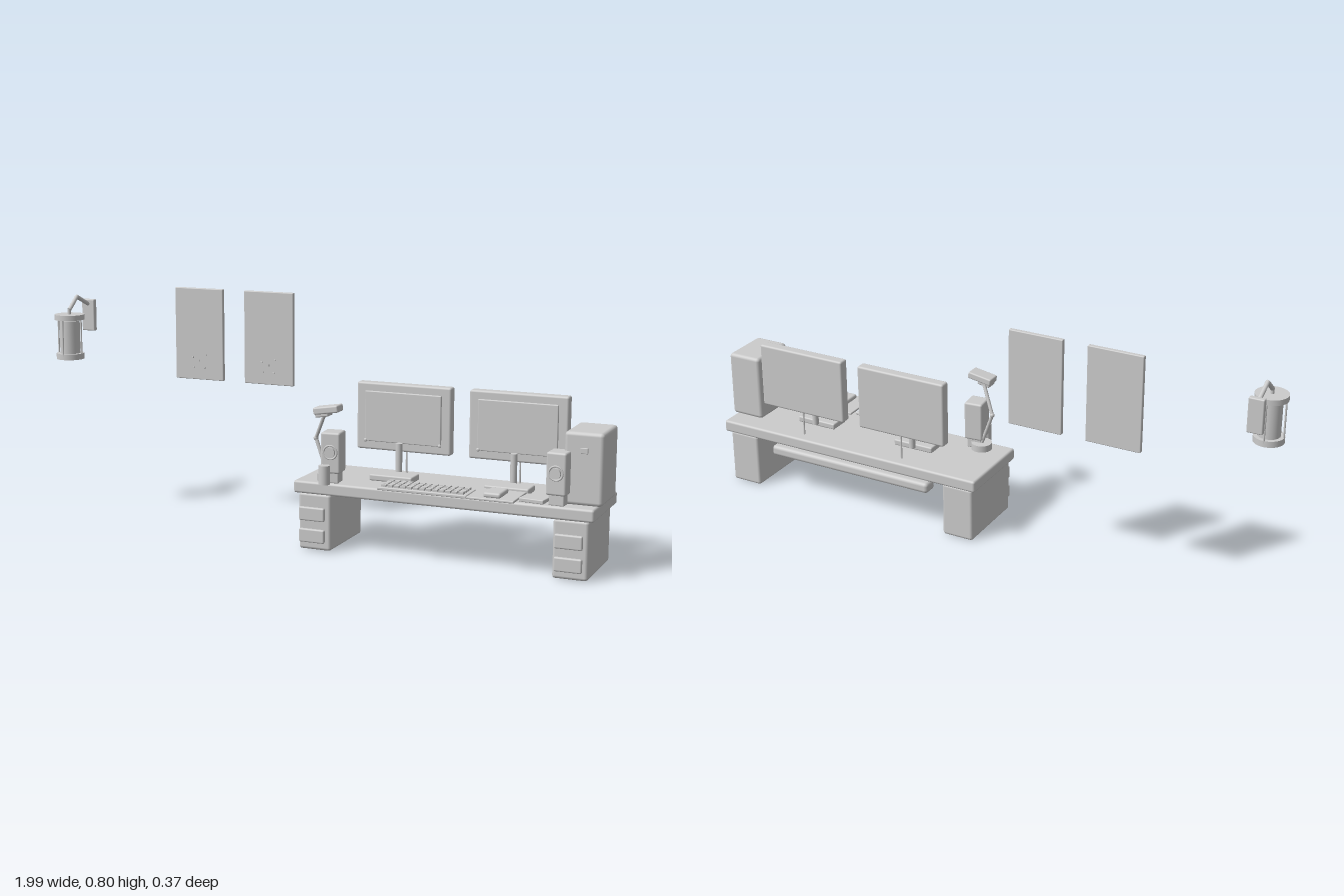
import * as THREE from 'three';
import { RoundedBoxGeometry } from 'three/addons/geometries/RoundedBoxGeometry.js';

const material = new THREE.MeshStandardMaterial({ color: 0xcccccc });

function add(parent, name, geometry, x = 0, y = 0, z = 0) {
  const mesh = new THREE.Mesh(geometry, material);
  mesh.name = name;
  mesh.position.set(x, y, z);
  parent.add(mesh);
  return mesh;
}

// Box given by its extents on each axis, with softened edges
function slab(parent, name, [x0, x1], [y0, y1], [z0, z1], r = 0.005) {
  const w = x1 - x0, h = y1 - y0, d = z1 - z0;
  const geometry = r ? new RoundedBoxGeometry(w, h, d, 2, Math.min(r, w / 2.2, h / 2.2, d / 2.2))
    : new THREE.BoxGeometry(w, h, d);
  return add(parent, name, geometry, (x0 + x1) / 2, (y0 + y1) / 2, (z0 + z1) / 2);
}

function upright(parent, name, r, y0, y1, x, z, sides = 24) {
  return add(parent, name, new THREE.CylinderGeometry(r, r, y1 - y0, sides), x, (y0 + y1) / 2, z);
}

// Straight round bar between two points
function bar(parent, name, a, b, r) {
  const from = new THREE.Vector3(...a), to = new THREE.Vector3(...b);
  const mesh = add(parent, name, new THREE.CylinderGeometry(r, r, from.distanceTo(to), 12));
  mesh.position.copy(from).lerp(to, 0.5);
  mesh.quaternion.setFromUnitVectors(new THREE.Vector3(0, 1, 0), to.sub(from).normalize());
  return mesh;
}

function group(parent, name, x = 0, y = 0, z = 0) {
  const g = new THREE.Group();
  g.name = name;
  g.position.set(x, y, z);
  parent.add(g);
  return g;
}

function buildDesk(root) {
  const desk = group(root, 'desk');
  slab(desk, 'deskTop', [-0.013, 0.98], [0.19, 0.231], [-0.167, 0.117], 0.008);
  for (const x of [0.0575, 0.907]) {
    slab(desk, 'pedestal', [x - 0.056, x + 0.056], [0.003, 0.191], [-0.157, 0.107], 0.01);
    for (const y of [0.033, 0.105])
      slab(desk, 'drawerFront', [x - 0.044, x + 0.044], [y, y + 0.045], [0.12, 0.134]);
  }
  slab(desk, 'cableTray', [0.17, 0.79], [0.137, 0.174], [-0.16, -0.105], 0.012);
}

function buildMonitor(root, x) {
  const monitor = group(root, 'monitor', x);
  slab(monitor, 'monitorBody', [-0.163, 0.163], [0.309, 0.532], [-0.129, -0.092], 0.007);
  slab(monitor, 'screen', [-0.132, 0.132], [0.338, 0.505], [-0.094, -0.084], 0.003);
  for (const side of [-1, 1]) {
    const knob = add(monitor, 'screenKnob', new THREE.SphereGeometry(0.006, 10, 8), side * 0.129, 0.341, -0.083);
    knob.scale.z = 0.5;
  }
  upright(monitor, 'standPole', 0.011, 0.24, 0.345, 0, -0.056);
  slab(monitor, 'standFoot', [-0.073, 0.073], [0.231, 0.252], [-0.053, 0.02], 0.005);
  upright(monitor, 'cable', 0.003, 0.225, 0.312, 0, -0.126, 8);
}

function buildSpeaker(root, x, turn) {
  const speaker = group(root, 'speaker', x, 0, 0.081);
  speaker.rotation.y = turn;
  slab(speaker, 'speakerBody', [-0.032, 0.032], [0.263, 0.397], [-0.034, 0.034], 0.007);
  slab(speaker, 'speakerFoot', [-0.025, 0.025], [0.23, 0.266], [-0.026, 0.026], 0.004);
  add(speaker, 'speakerCone', new THREE.CylinderGeometry(0.017, 0.017, 0.01, 24), 0, 0.333, 0.038).rotation.x = Math.PI / 2;
  add(speaker, 'speakerRim', new THREE.TorusGeometry(0.022, 0.003, 8, 28), 0, 0.333, 0.034);
}

function buildComputer(root) {
  const computer = group(root, 'computer');
  slab(computer, 'computerCase', [0.87, 0.993], [0.23, 0.457], [-0.098, 0.073], 0.012);
  slab(computer, 'powerButton', [0.921, 0.945], [0.392, 0.41], [0.07, 0.077], 0.002);
}

function buildKeyboard(root) {
  const keyboard = group(root, 'keyboard');
  slab(keyboard, 'keyboardBase', [0.297, 0.592], [0.239, 0.249], [0.072, 0.166], 0.003);
  for (let row = 0; row < 4; row++)
    for (let col = 0; col < 13; col++) {
      const x = 0.308 + col * 0.0213, z = 0.079 + row * 0.0205;
      slab(keyboard, 'key', [x, x + 0.016], [0.248, 0.256], [z, z + 0.016], 0);
    }
}

function buildDeskItems(root) {
  const items = group(root, 'deskItems');
  slab(items, 'mousePad', [0.598, 0.75], [0.244, 0.252], [0.053, 0.187], 0.003);
  slab(items, 'mouse', [0.648, 0.703], [0.25, 0.267], [0.085, 0.172], 0.007);
  const notebook = slab(items, 'notebook', [-0.04, 0.04], [0.241, 0.254], [-0.033, 0.033], 0.003);
  notebook.position.x = 0.795;
  notebook.position.z = 0.112;
  notebook.rotation.y = -0.12;
  upright(items, 'penCup', 0.018, 0.231, 0.293, 0.102, 0.13);
}

function buildDeskLamp(root) {
  const lamp = group(root, 'deskLamp');
  const points = [[0.085, 0.25, 0.065], [0.042, 0.365, 0.06], [0.085, 0.455, 0.085]];
  upright(lamp, 'lampFoot', 0.035, 0.23, 0.254, 0.085, 0.065);
  for (let i = 0; i < 2; i++) bar(lamp, 'lampArm', points[i], points[i + 1], 0.006);
  add(lamp, 'lampJoint', new THREE.SphereGeometry(0.008, 14, 10), ...points[1]);
  // Tilted head with a wider shade on top
  const head = group(lamp, 'lampHead', 0.107, 0.469, 0.111);
  head.rotation.z = 0.16;
  slab(head, 'lampShade', [-0.043, 0.043], [-0.008, 0.015], [-0.025, 0.025], 0.005);
  slab(head, 'lampBulbHousing', [-0.04, 0.005], [-0.018, 0], [-0.022, 0.02], 0.004);
}

function buildWallLantern(root) {
  const lantern = group(root, 'wallLantern', -0.949, 0, -0.046);
  upright(lantern, 'lanternCap', 0.052, 0.685, 0.703, 0, 0, 32);
  upright(lantern, 'lanternBottom', 0.048, 0.547, 0.567, 0, 0, 32);
  upright(lantern, 'lanternGlass', 0.035, 0.56, 0.681, 0, 0, 24);
  for (let i = 0; i < 4; i++) {
    const a = i * Math.PI / 2;
    upright(lantern, 'lanternRod', 0.003, 0.56, 0.69, 0.046 * Math.cos(a), 0.046 * Math.sin(a), 10);
  }
  upright(lantern, 'hangingStem', 0.006, 0.7, 0.722, 0, 0, 12);
  const path = [[0, 0.718, 0], [0, 0.759, -0.051], [0, 0.726, -0.124]];
  for (let i = 0; i < 2; i++) bar(lantern, 'bracketArm', path[i], path[i + 1], 0.007);
  add(lantern, 'bracketElbow', new THREE.SphereGeometry(0.007, 12, 10), ...path[1]);
  slab(lantern, 'wallPlate', [-0.025, 0.025], [0.63, 0.742], [-0.141, -0.122], 0.004);
}

function buildWallPanel(root, x) {
  const panel = group(root, 'wallPanel', x);
  slab(panel, 'panelBoard', [-0.092, 0.092], [0.483, 0.801], [-0.187, -0.172], 0.003);
  for (const [dx, y] of [[-0.02, 0.525], [0, 0.55], [0.02, 0.525], [0.025, 0.57], [-0.025, 0.56]])
    slab(panel, 'stud', [dx - 0.003, dx + 0.003], [y - 0.003, y + 0.003], [-0.173, -0.167], 0);
}

export function createModel() {
  const root = new THREE.Group();
  root.name = 'deskSetup';
  buildDesk(root);
  for (const x of [0.285, 0.673]) buildMonitor(root, x);
  buildSpeaker(root, 0.112, 0.1);
  buildSpeaker(root, 0.86, -0.05);
  buildComputer(root);
  buildKeyboard(root);
  buildDeskItems(root);
  buildDeskLamp(root);
  buildWallLantern(root);
  for (const x of [-0.505, -0.239]) buildWallPanel(root, x);
  return root;
}
